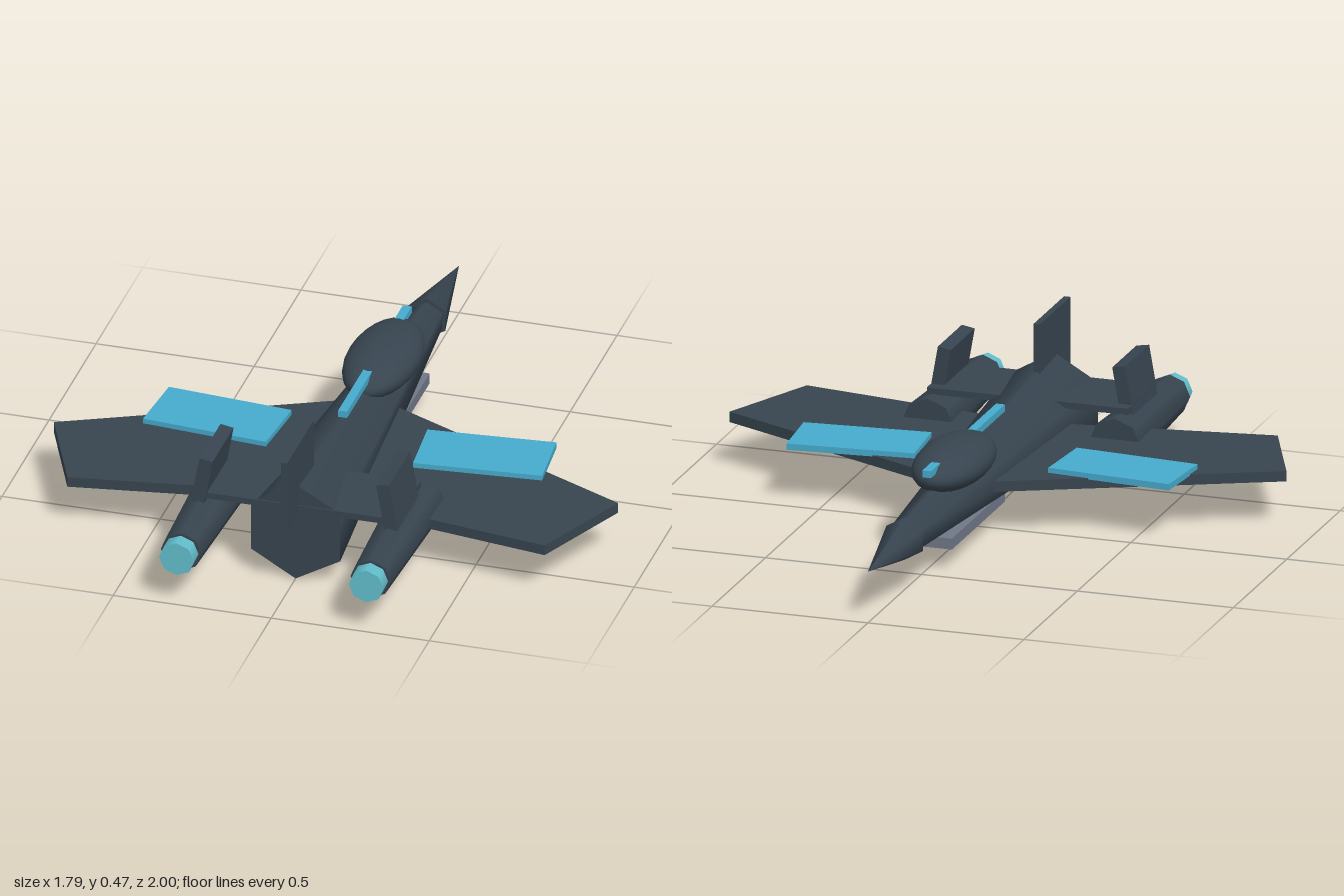
import * as THREE from 'three';

export function createModel() {
  const model = new THREE.Group();
  model.name = 'jet';

  const material = (name, color) => {
    const m = new THREE.MeshStandardMaterial({ color });
    m.name = name;
    return m;
  };
  const slate = material('darkSlate', 0x37444f);
  const blue = material('blue', 0x46aacc);
  const cyan = material('nozzleCyan', 0x62becc);
  const grey = material('grey', 0x707888);

  const add = (name, geometry, mat, x, y, z) => {
    const mesh = new THREE.Mesh(geometry, mat);
    mesh.name = name;
    mesh.position.set(x, y, z);
    model.add(mesh);
    return mesh;
  };
  const box = (name, mat, [w, h, d], [x, y, z]) =>
    add(name, new THREE.BoxGeometry(w, h, d), mat, x, y, z);
  // Tapered tube along z, from the front end (zFront) to the rear end (zRear)
  const tube = (name, mat, rFront, rRear, zFront, zRear, sides, x, y) =>
    add(name, new THREE.CylinderGeometry(rRear, rFront, zRear - zFront, sides).rotateX(Math.PI / 2),
      mat, x, y, (zFront + zRear) / 2);

  // Six-sided body and nose, pointing along -z
  tube('fuselage', slate, 0.056, 0.163, -0.655, 0.74, 6, 0, 0.163);
  const nose = new THREE.ConeGeometry(0.068, 0.345, 6).rotateX(-Math.PI / 2);
  add('noseCone', nose, slate, 0, 0.163, -0.8275);

  // Canopy, spine stripe, belly plate and centre fin
  add('canopy', new THREE.SphereGeometry(1, 24, 16), slate, 0, 0.268, -0.195)
    .scale.set(0.112, 0.07, 0.232);
  box('spineStripe', blue, [0.028, 0.022, 0.69], [0, 0.304, -0.105]);
  box('bellyPlate', grey, [0.15, 0.035, 0.497], [0, 0.084, -0.185]);
  box('centreFin', slate, [0.02, 0.24, 0.287], [0, 0.345, 0.72]);
  box('tailplane', slate, [0.645, 0.02, 0.254], [0, 0.246, 0.618]);

  // Wing outline as x, z
  const outline = [[0.08, -0.078], [0.893, 0.31], [0.755, 0.63], [0.08, 0.525]];

  for (const [side, s] of [['left', 1], ['right', -1]]) {
    const shape = new THREE.Shape(outline.map(([x, z]) => new THREE.Vector2(s * x, z)));
    const wing = new THREE.ExtrudeGeometry(shape, { depth: 0.033, bevelEnabled: false })
      .rotateX(Math.PI / 2);
    add(side + 'Wing', wing, slate, 0, 0.174, 0);

    box(side + 'WingPanel', blue, [0.4, 0.02, 0.215], [s * 0.423, 0.18, 0.15])
      .rotation.y = s * 0.085;

    tube(side + 'Engine', slate, 0.084, 0.064, 0.432, 0.95, 8, s * 0.3, 0.157);
    tube(side + 'Nozzle', cyan, 0.055, 0.055, 0.94, 1, 8, s * 0.3, 0.157);

    // Fins lean inward
    box(side + 'Fin', slate, [0.042, 0.155, 0.225], [s * 0.293, 0.297, 0.642])
      .rotation.z = s * 0.175;
  }

  return model;
}
